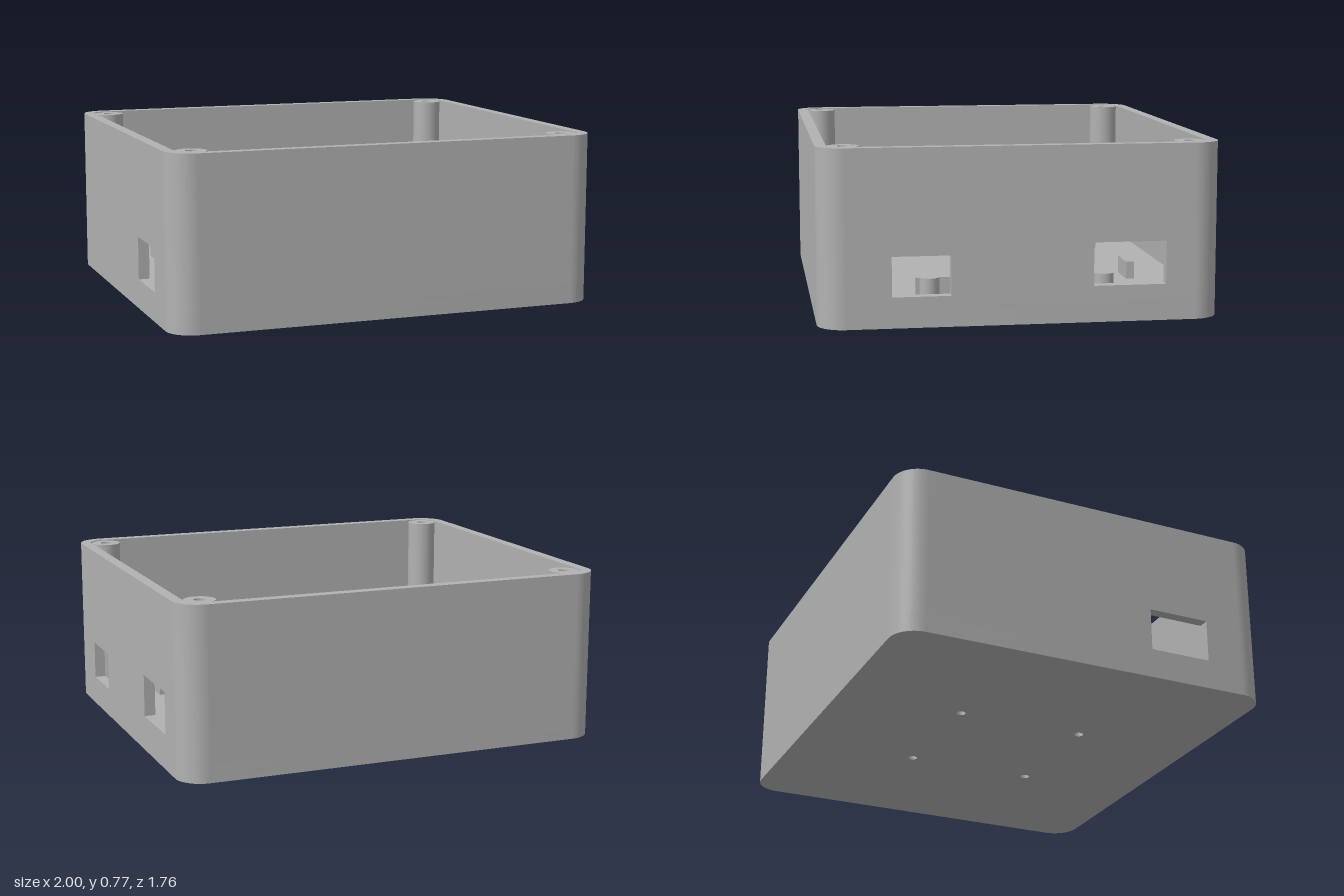
import * as THREE from 'three';
import { toCreasedNormals } from 'three/addons/utils/BufferGeometryUtils.js';

const W = 1, D = 0.88, H = 0.775;      // half width, half depth, height
const R = 0.12, T = 0.05, FLOOR = 0.09; // corner radius, wall, floor top
const CX = W - R, CZ = D - R;           // corner arc centres
const CORNERS = [[1, 1], [1, -1], [-1, 1], [-1, -1]];

export function createModel() {
  const group = new THREE.Group();
  const grey = new THREE.MeshStandardMaterial({ color: 0xb2b2b2 });
  grey.name = 'grey plastic';

  const add = (name, geometry, x = 0, y = 0, z = 0) => {
    const mesh = new THREE.Mesh(geometry, grey);
    mesh.name = name;
    mesh.position.set(x, y, z);
    group.add(mesh);
    return mesh;
  };
  const extrude = (shape, depth) =>
    toCreasedNormals(new THREE.ExtrudeGeometry(shape, { depth, bevelEnabled: false, curveSegments: 16 }), 0.5);
  const box = (name, w, h, d, x, y, z) => add(name, new THREE.BoxGeometry(w, h, d), x, y + h / 2, z);

  // Base plate: lower layer carries four blind screw holes on the underside
  const plate = () => {
    const s = new THREE.Shape();
    s.absarc(CX, CZ, R, 0, Math.PI / 2);
    s.absarc(-CX, CZ, R, Math.PI / 2, Math.PI);
    s.absarc(-CX, -CZ, R, Math.PI, Math.PI * 1.5);
    s.absarc(CX, -CZ, R, Math.PI * 1.5, Math.PI * 2);
    s.closePath();
    return s;
  };
  const lower = plate();
  for (const [sx, sz] of CORNERS) {
    lower.holes.push(new THREE.Path().absarc(sx * 0.295, sz * 0.3, 0.022, 0, Math.PI * 2, true));
  }
  const cut = 0.045;
  add('basePlateLower', extrude(lower, cut).rotateX(-Math.PI / 2));
  add('basePlateUpper', extrude(plate(), FLOOR - cut).rotateX(-Math.PI / 2), 0, cut, 0);

  // Front and back walls
  const wallH = H - FLOOR;
  box('frontWall', CX * 2, wallH, T, 0, FLOOR, D - T / 2);
  box('backWall', CX * 2, wallH, T, 0, FLOOR, -D + T / 2);

  // Side walls with rectangular port openings: [zMin, zMax, yMin, yMax]
  const rect = (p, x0, x1, y0, y1) =>
    p.moveTo(x0, y0).lineTo(x1, y0).lineTo(x1, y1).lineTo(x0, y1).closePath();
  const sideWall = (name, x, ports) => {
    const s = new THREE.Shape();
    rect(s, -CZ, CZ, FLOOR, H);
    for (const [z0, z1, y0, y1] of ports) {
      const hole = new THREE.Path();
      rect(hole, -z1, -z0, y0, y1);
      s.holes.push(hole);
    }
    add(name, extrude(s, T).rotateY(Math.PI / 2), x, 0, 0);
  };
  sideWall('leftWall', W - T, [[0.31, 0.565, 0.135, 0.31], [-0.63, -0.31, 0.16, 0.35]]);
  sideWall('rightWall', -W, [[0.305, 0.59, 0.135, 0.33]]);

  // Rounded wall corners
  const quarter = new THREE.Shape();
  quarter.absarc(0, 0, R, 0, Math.PI / 2, false);
  quarter.absarc(0, 0, R - T, Math.PI / 2, 0, true);
  quarter.closePath();
  const cornerGeo = extrude(quarter, wallH).rotateX(-Math.PI / 2);

  // Corner screw posts with a blind hole in the top
  const top = H - 0.003, bore = 0.025;
  const postGeo = toCreasedNormals(new THREE.LatheGeometry([
    [0.07, FLOOR], [0.07, top], [bore, top], [bore, top - 0.25], [0, top - 0.25],
  ].map(([r, y]) => new THREE.Vector2(r, y)), 40), 0.5);

  const pegH = 0.19 - FLOOR, railH = 0.17 - FLOOR;
  for (const [sx, sz] of CORNERS) {
    const turn = sx > 0 ? (sz < 0 ? 0 : -Math.PI / 2) : (sz < 0 ? Math.PI / 2 : Math.PI);
    add('wallCorner', cornerGeo, sx * CX, FLOOR, sz * CZ).rotation.y = turn;
    add('screwPost', postGeo, sx * 0.877, 0, sz * 0.759);

    // Locating pegs and board rails on the floor
    add('locatingPeg', new THREE.CylinderGeometry(0.043, 0.043, pegH, 28), sx * 0.845, FLOOR + pegH / 2, sz * 0.387);
    box('sideRail', 0.038, railH, 0.165, sx * 0.737, FLOOR, sz * 0.355);
    box('endRail', 0.167, railH, 0.037, sx * 0.422, FLOOR, sz * 0.588);
  }
  return group;
}
